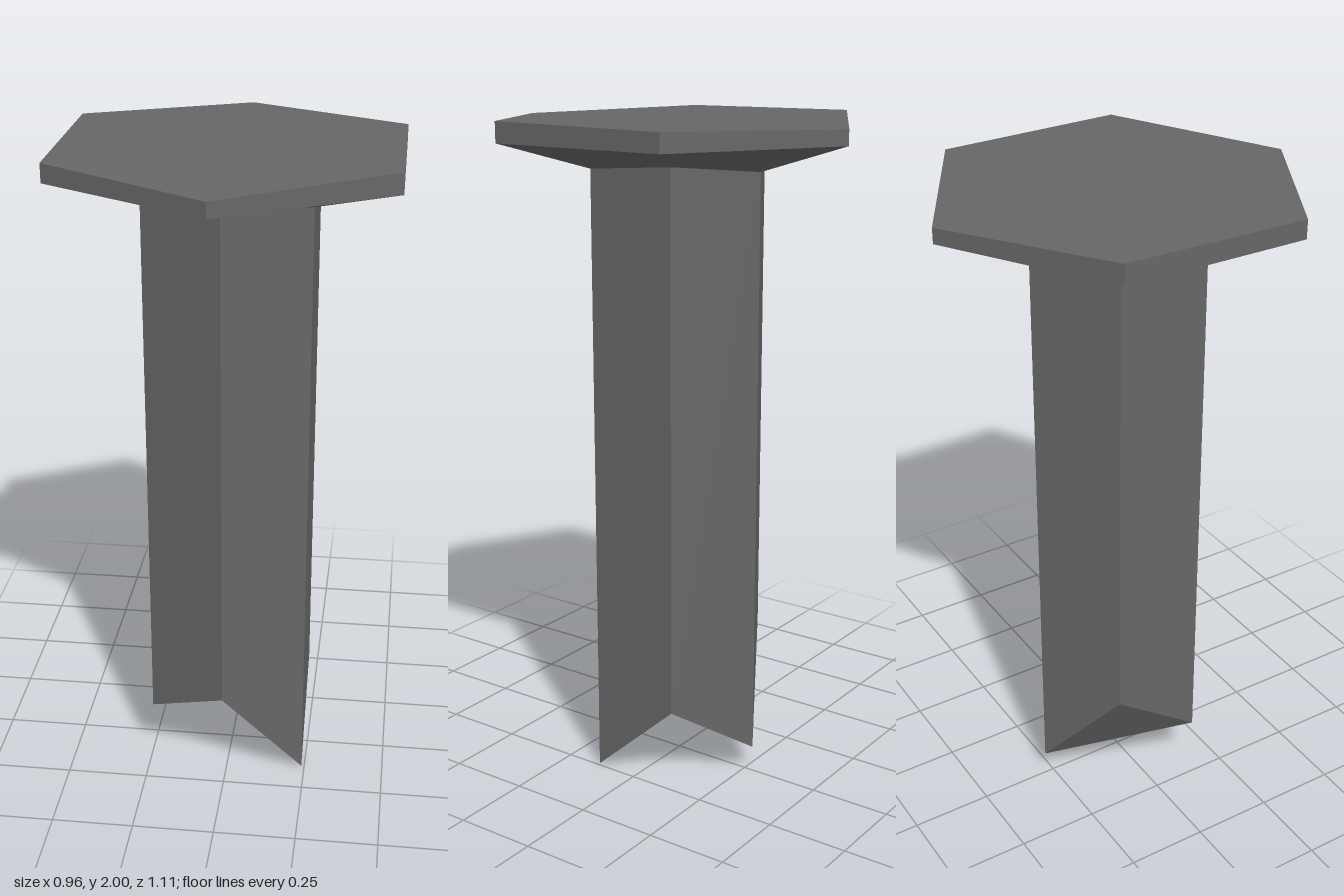
import * as THREE from 'three';

// Hexagonal ring: one height per corner, starting at the front (+z) and turning towards +x
function ring(radius, heights) {
  return heights.map((y, i) => {
    const a = (i * Math.PI) / 3;
    return new THREE.Vector3(radius * Math.sin(a), y, radius * Math.cos(a));
  });
}

// Faceted mesh from a list of triangles
function facetMesh(name, triangles, material) {
  const geometry = new THREE.BufferGeometry().setFromPoints(triangles.flat());
  geometry.computeVertexNormals();
  const mesh = new THREE.Mesh(geometry, material);
  mesh.name = name;
  return mesh;
}

// Six wall panels joining a lower ring to an upper ring
function walls(lower, upper) {
  const out = [];
  for (let i = 0; i < 6; i++) {
    const j = (i + 1) % 6;
    out.push([lower[i], lower[j], upper[j]], [lower[i], upper[j], upper[i]]);
  }
  return out;
}

export function createModel() {
  const group = new THREE.Group();
  group.name = 'hexagonalSpike';
  const stone = new THREE.MeshStandardMaterial({ color: 0x666666 });
  stone.name = 'dark grey';

  const shaftBottom = ring(0.278, [0.33, 0, 0.25, 0.08, 0.4, 0.2]);
  const shaftTop = ring(0.278, [1.88, 1.86, 1.88, 1.855, 1.88, 1.88]);
  const rimBottom = ring(0.555, [1.94, 1.94, 1.94, 1.94, 1.94, 1.94]);
  const rimTop = ring(0.555, [1.985, 2, 1.995, 1.985, 2, 1.995]);

  // Shaft with a jagged, broken lower end
  const b = shaftBottom;
  const brokenEnd = [[0, 2, 1], [0, 3, 2], [0, 5, 3], [3, 5, 4]].map((t) => t.map((i) => b[i]));
  group.add(facetMesh('shaft', [...walls(shaftBottom, shaftTop), ...brokenEnd], stone));

  // Head: sloping underside, thin rim and nearly flat top
  const centre = new THREE.Vector3(0, 1.995, 0);
  const top = rimTop.map((p, i) => [centre, p, rimTop[(i + 1) % 6]]);
  group.add(facetMesh('head', [...walls(shaftTop, rimBottom), ...walls(rimBottom, rimTop), ...top], stone));

  return group;
}
